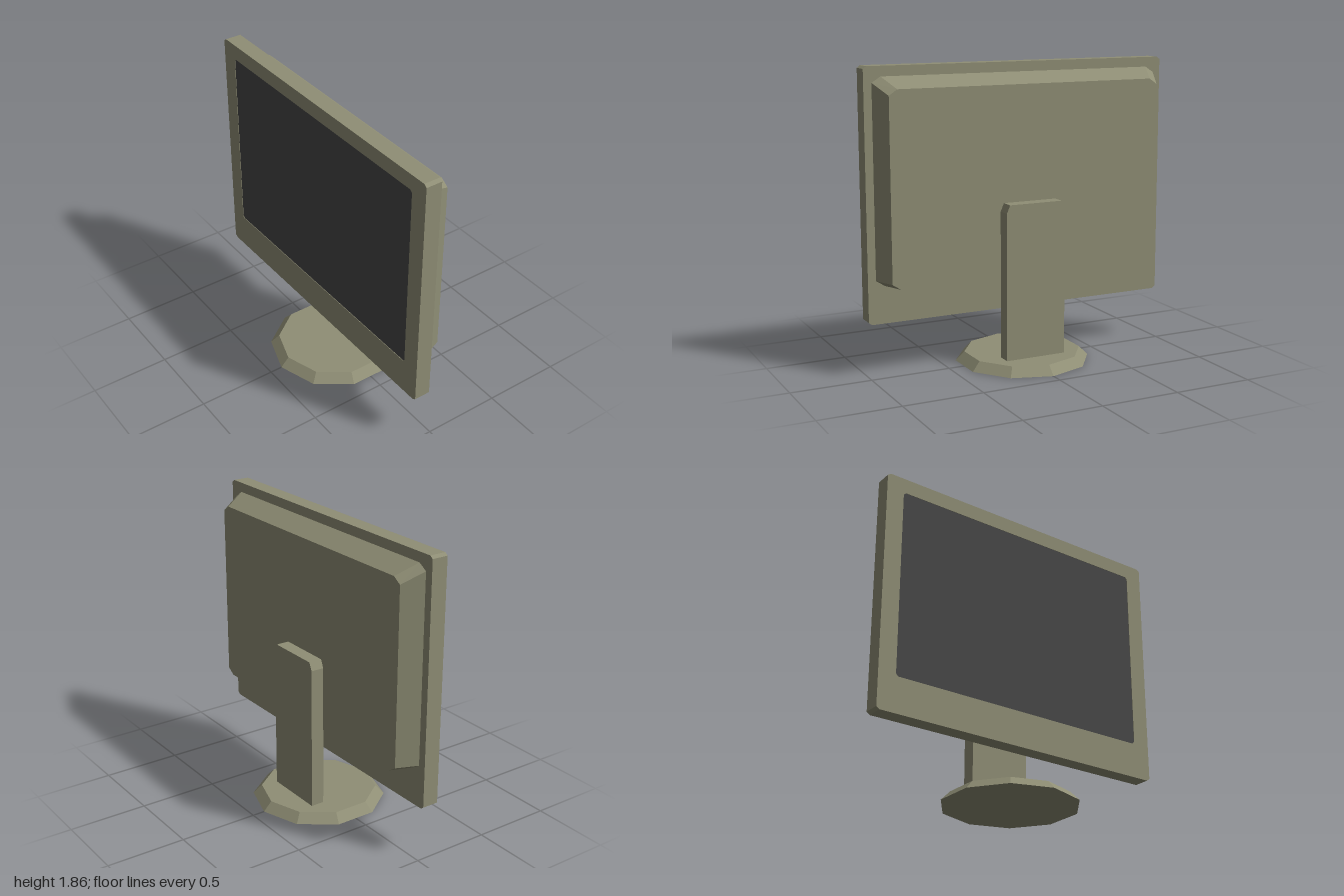
import * as THREE from 'three';

const casing = new THREE.MeshStandardMaterial({ color: 0x8f8e75 });
casing.name = 'olive casing';
const glass = new THREE.MeshStandardMaterial({ color: 0x474747 });
glass.name = 'dark glass';

// Rectangle outline with cut corners, symmetric about x = 0
function outline(halfW, y0, y1, cx, cy) {
  return [
    [halfW - cx, y0], [halfW, y0 + cy], [halfW, y1 - cy], [halfW - cx, y1],
    [cx - halfW, y1], [-halfW, y1 - cy], [-halfW, y0 + cy], [cx - halfW, y0],
  ].map(([x, y]) => new THREE.Vector2(x, y));
}

// Straight slab of an outline between two depths
function slab(points, z0, z1, hole) {
  const shape = new THREE.Shape(points);
  if (hole) shape.holes.push(new THREE.Path(hole));
  const geometry = new THREE.ExtrudeGeometry(shape, { depth: z1 - z0, bevelEnabled: false });
  return geometry.translate(0, 0, z0);
}

export function createModel() {
  const group = new THREE.Group();
  const add = (name, geometry, material) => {
    const mesh = new THREE.Mesh(geometry, material);
    mesh.name = name;
    group.add(mesh);
  };

  // Front panel: solid rear layer, and a frame around the slightly sunken screen
  const panel = outline(1, 0.33, 1.856, 0.02, 0.015);
  const opening = outline(0.885, 0.555, 1.76, 0.015, 0.015);
  add('panelBody', slab(panel, 0.026, 0.12), casing);
  add('panelFrame', slab(panel, 0.12, 0.13, opening), casing);
  add('screen', slab(opening, 0.12, 0.127), glass);

  // Rear housing: narrows backwards at the sides and top, level underneath
  const housing = slab(outline(0.95, 0.56, 1.795, 0.055, 0.035), -0.106, 0.026);
  const p = housing.attributes.position;
  for (let i = 0; i < p.count; i++) {
    if (p.getZ(i) > 0) continue;
    p.setX(i, p.getX(i) * 0.943);
    if (p.getY(i) > 1) p.setY(i, p.getY(i) - 0.065);
  }
  housing.computeVertexNormals();
  add('rearHousing', housing, casing);

  // Upright post with cut top corners
  const post = [[-0.197, 0.05], [0.197, 0.05], [0.197, 0.97], [0.175, 1.02], [-0.175, 1.02], [-0.197, 0.97]];
  add('standPost', slab(post.map(([x, y]) => new THREE.Vector2(x, y)), -0.191, -0.104), casing);

  // Ten-sided foot with a sloping rim
  const foot = new THREE.CylinderGeometry(0.365, 0.42, 0.056, 10).toNonIndexed();
  foot.computeVertexNormals();
  foot.translate(0, 0.028, 0);
  add('standFoot', foot, casing);

  return group;
}
